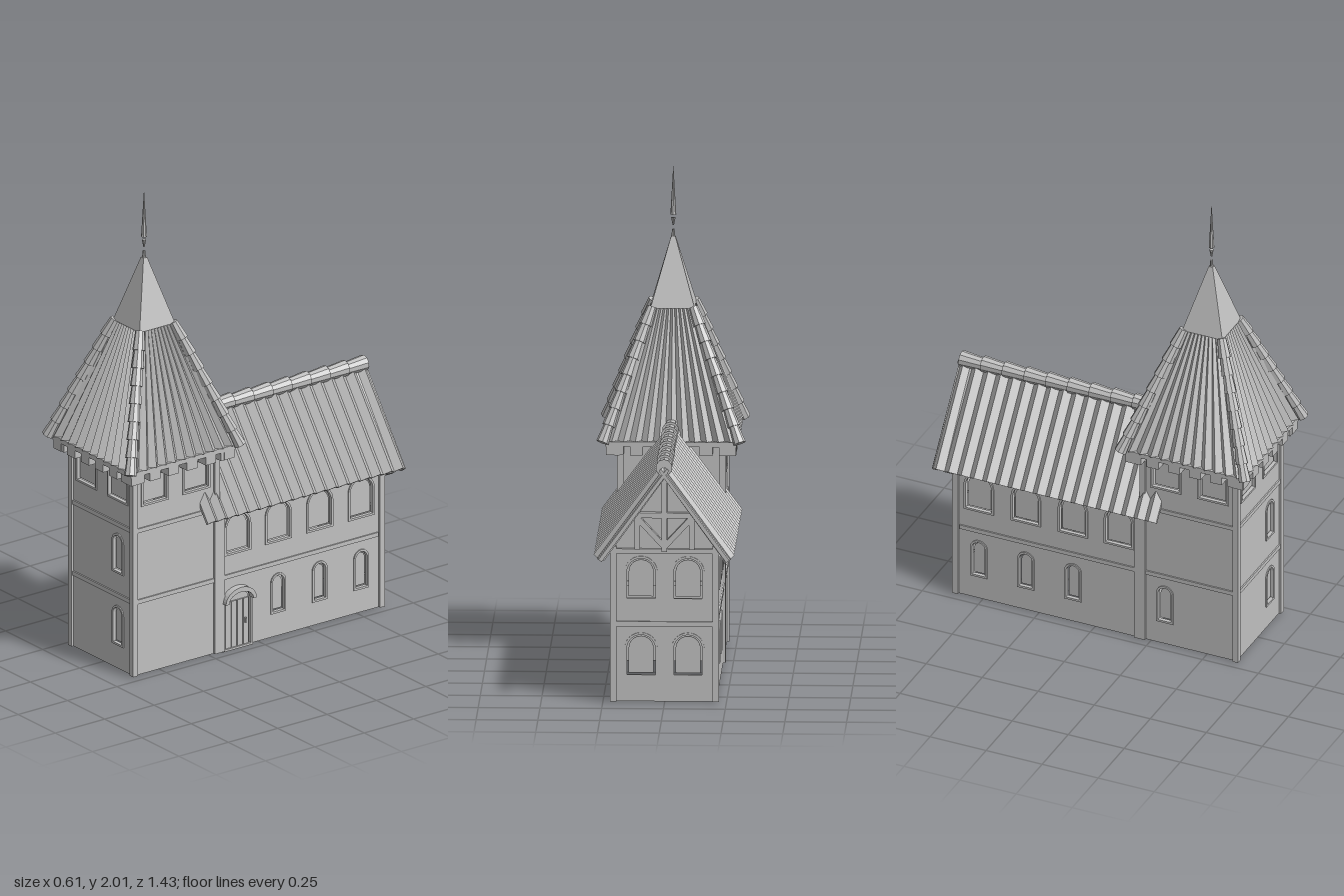
import * as THREE from 'three';

const stone = new THREE.MeshStandardMaterial({ color: 0xc0c0c0, flatShading: true, side: THREE.DoubleSide });
stone.name = 'plain grey';

const V = (x, y, z) => new THREE.Vector3(x, y, z);
const HALF = 0.21;            // outer wall face, half width
const TZ = 0.425;             // tower centre along z

function add(parent, name, geo, x = 0, y = 0, z = 0) {
  const m = new THREE.Mesh(geo, stone);
  m.name = name;
  m.position.set(x, y, z);
  parent.add(m);
  return m;
}
const box = (p, name, w, h, d, x, y, z) => add(p, name, new THREE.BoxGeometry(w, h, d), x, y, z);
const slab = (shape, depth) => new THREE.ExtrudeGeometry(shape, { depth, bevelEnabled: false, curveSegments: 8 });

// Tapered round bar between two points
function bar(p, name, a, b, r0, r1, sides = 8) {
  const m = add(p, name, new THREE.CylinderGeometry(r1, r0, a.distanceTo(b), sides));
  m.position.copy(a).lerp(b, 0.5);
  m.quaternion.setFromUnitVectors(V(0, 1, 0), b.clone().sub(a).normalize());
}

// Timber between two points of a plane facing z
function timber(p, name, x0, y0, x1, y1, z, w = 0.022, d = 0.025) {
  const m = box(p, name, w, Math.hypot(x1 - x0, y1 - y0), d, (x0 + x1) / 2, (y0 + y1) / 2, z);
  m.rotation.z = -Math.atan2(x1 - x0, y1 - y0);
}

// Opening outline grown by g; rise is the height of the arched top (0 = square)
function outline({ x, y, w, h, rise }, g = 0) {
  const a = w / 2 + g, top = y + h + g, s = new THREE.Shape();
  const spring = rise ? y + h - rise : top;
  s.moveTo(x - a, y - g).lineTo(x + a, y - g).lineTo(x + a, spring);
  if (rise) s.absellipse(x, spring, a, rise + g, 0, Math.PI, false);
  else s.lineTo(x - a, top);
  s.closePath();
  return s;
}
const wide = (x, y) => ({ x, y, w: 0.115, h: 0.165, rise: 0.057 });
const slim = (x, y) => ({ x, y, w: 0.058, h: 0.155, rise: 0.029 });
const square = x => ({ x, y: 0.74, w: 0.12, h: 0.12, rise: 0 });

// Wall with framed, glazed openings; local +z is the outside
function wall(parent, name, w, h, openings, x, z, turn) {
  const g = new THREE.Group();
  g.name = name;
  const s = new THREE.Shape([[-w / 2, 0], [w / 2, 0], [w / 2, h], [-w / 2, h]].map(p => new THREE.Vector2(...p)));
  openings.forEach(o => s.holes.push(outline(o)));
  add(g, 'wallPanel', slab(s, 0.012), 0, 0, -0.012);
  for (const o of openings) {
    const ring = outline(o, 0.009);
    ring.holes.push(outline(o));
    add(g, 'windowFrame', slab(ring, 0.007), 0, 0, -0.002);
    add(g, 'windowPane', slab(outline(o, -0.007), 0.005), 0, 0, -0.011);
  }
  g.position.set(x, 0, z);
  g.rotation.y = turn;
  parent.add(g);
  return g;
}

// Corrugated sheet for one roof slope, extruded from eave to ridge
function roofSheet(parent, side, z0, z1, length) {
  const len = z1 - z0, n = Math.round(len / 0.0565) * 2, top = [], low = [];
  for (let i = 0; i <= n; i++) {
    const u = -len / 2 + len * i / n, v = i % 2 ? 0.013 : -0.013;
    top.push(new THREE.Vector2(u, v));
    low.unshift(new THREE.Vector2(u, v - 0.012));
  }
  const m = add(parent, 'corrugatedRoof', slab(new THREE.Shape([...top, ...low]), length));
  const basis = new THREE.Matrix4().makeBasis(V(0, 0, side), V(side * 0.805, 0.593, 0), V(-side * 0.593, 0.805, 0));
  m.quaternion.setFromRotationMatrix(basis);
  m.position.set(side * 0.275, 0.607, (z0 + z1) / 2);
}

// Fanned corrugated face of the tower roof
function towerRoofFace() {
  const geo = new THREE.PlaneGeometry(2, 1, 22, 1), p = geo.attributes.position;
  for (let i = 0; i < p.count; i++) {
    const t = p.getY(i) + 0.5, col = i % 23;
    const half = THREE.MathUtils.lerp(0.265, 0.085, t);
    const amp = THREE.MathUtils.lerp(0.012, 0.005, t) * (col % 2 ? 1 : -1);
    p.setXYZ(i, p.getX(i) * half, THREE.MathUtils.lerp(0.915, 1.43, t), half + amp);
  }
  geo.computeVertexNormals();
  return geo;
}

function buildTower() {
  const t = new THREE.Group();
  t.name = 'tower';
  t.position.z = TZ;
  const pair = [square(-0.105), square(0.105)];
  wall(t, 'towerFrontWall', 0.42, 0.9, [...pair, slim(0.105, 0.11), slim(0.105, 0.425)], 0, HALF, 0);
  wall(t, 'towerRightWall', 0.42, 0.9, pair, HALF, 0, Math.PI / 2);
  wall(t, 'towerLeftWall', 0.42, 0.9, [...pair, slim(-0.11, 0.11)], -HALF, 0, -Math.PI / 2);
  wall(t, 'towerBackWall', 0.42, 0.9, [], 0, -HALF, Math.PI);
  for (const sx of [-1, 1]) for (const sz of [-1, 1])
    box(t, 'towerPost', 0.025, 0.9, 0.025, sx * 0.2075, 0.45, sz * 0.2075);
  for (const y of [0.32, 0.63]) for (const s of [-1, 1]) {
    box(t, 'towerBeam', 0.4, 0.018, 0.014, 0, y, s * 0.209);
    box(t, 'towerBeam', 0.014, 0.018, 0.4, s * 0.209, y, 0);
  }

  // Eaves, joist ends and the four roof faces
  box(t, 'eavesPlate', 0.53, 0.02, 0.53, 0, 0.903, 0);
  for (let k = 0; k < 4; k++) {
    const side = new THREE.Group();
    side.name = 'towerRoofSide';
    side.rotation.y = k * Math.PI / 2;
    t.add(side);
    for (let i = 0; i < 6; i++) box(side, 'joistEnd', 0.052, 0.038, 0.07, -0.235 + i * 0.094, 0.876, 0.228);
    add(side, 'towerRoofFace', towerRoofFace());
    const a = V(0.278, 0.912, 0.278), b = V(0.086, 1.43, 0.086);
    for (let i = 0; i < 8; i++)
      bar(side, 'hipTile', a.clone().lerp(b, i / 8), a.clone().lerp(b, (i + 1.08) / 8), 0.026, 0.019);
  }

  // Smooth upper cap and finial
  const cap = add(t, 'spireCap', new THREE.CylinderGeometry(0.013, 0.127, 0.28, 4), 0, 1.57, 0);
  cap.rotation.y = Math.PI / 4;
  add(t, 'spireKnob', new THREE.CylinderGeometry(0.005, 0.01, 0.05, 8), 0, 1.715, 0);
  add(t, 'finialCup', new THREE.CylinderGeometry(0.009, 0.003, 0.032, 8), 0, 1.772, 0);
  add(t, 'finialSpike', new THREE.CylinderGeometry(0.0005, 0.012, 0.2, 8), 0, 1.9, 0);
  return t;
}

function buildHouse() {
  const h = new THREE.Group();
  h.name = 'house';
  const zc = -0.205, upper = [0.11, -0.095, -0.305, -0.515], lower = upper.slice(1);
  const door = { x: zc - 0.112, y: 0.004, w: 0.135, h: 0.246, rise: 0.045 };
  const right = wall(h, 'houseRightWall', 0.83, 0.67,
    [...upper.map(z => wide(zc - z, 0.42)), ...lower.map(z => slim(zc - z, 0.11)), door], HALF, zc, Math.PI / 2);
  wall(h, 'houseLeftWall', 0.83, 0.67,
    [...upper.map(z => wide(z - zc, 0.42)), ...lower.map(z => slim(z - zc, 0.11))], -HALF, zc, -Math.PI / 2);
  wall(h, 'houseBackWall', 0.42, 0.62,
    [0.11, 0.425].flatMap(y => [wide(-0.095, y), wide(0.095, y)]), 0, -0.62, Math.PI);

  // Door hood, planks and handle
  const hood = outline({ ...door, y: 0.22, h: 0.03, rise: 0.03 }, 0.014);
  hood.holes.push(outline({ ...door, y: 0.195, h: 0.055, rise: 0.045 }, 0));
  const arch = new THREE.Shape();
  arch.absellipse(door.x, 0.208, 0.078, 0.062, 0, Math.PI, false);
  arch.absellipse(door.x, 0.208, 0.062, 0.042, Math.PI, 0, true);
  add(right, 'doorHood', slab(arch, 0.03));
  for (let i = 0; i < 4; i++) box(right, 'doorPlank', 0.027, 0.2, 0.006, door.x - 0.045 + i * 0.03, 0.105, -0.003);
  box(right, 'doorHandle', 0.008, 0.02, 0.012, door.x + 0.04, 0.11, 0.003);

  // Posts and floor beams
  for (const s of [-1, 1]) {
    for (const z of [-0.6175, 0.193]) box(h, 'housePost', 0.025, 0.64, 0.025, s * 0.2075, 0.32, z);
    for (const y of [0.32, 0.605]) box(h, 'houseBeam', 0.014, 0.018, 0.79, s * 0.209, y, zc);
  }
  for (const y of [0.32, 0.62]) box(h, 'backBeam', 0.4, 0.02, 0.016, 0, y, -0.62);

  // Gable wall and timber frame
  const gable = new THREE.Shape([[-0.208, 0.61], [0.208, 0.61], [0.208, 0.66], [0, 0.94], [-0.208, 0.66]]
    .map(p => new THREE.Vector2(...p)));
  add(h, 'gableWall', slab(gable, 0.012), 0, 0, -0.615);
  timber(h, 'kingPost', 0, 0.62, 0, 0.93, -0.627);
  timber(h, 'collarBeam', -0.11, 0.77, 0.11, 0.77, -0.627);
  for (const s of [-1, 1]) {
    timber(h, 'gableBrace', 0, 0.64, s * 0.12, 0.77, -0.627);
    timber(h, 'gableStud', s * 0.11, 0.63, s * 0.11, 0.78, -0.627);
    timber(h, 'gableRafter', s * 0.255, 0.59, 0, 0.945, -0.63, 0.026, 0.035);
    timber(h, 'bargeBoard', s * 0.262, 0.595, 0, 0.955, -0.688, 0.024, 0.016);
    // Long slope, and the short lower piece running past the tower
    roofSheet(h, s, -0.7, 0.2, 0.465);
    roofSheet(h, s, 0.2, 0.3, 0.125);
  }

  // Overlapping ridge tiles
  for (let i = 0; i < 9; i++) {
    const z = -0.69 + i * 0.0967;
    bar(h, 'ridgeTile', V(0, 0.978, z), V(0, 0.974, z + 0.105), 0.034, 0.027, 10);
  }
  return h;
}

export function createModel() {
  const model = new THREE.Group();
  model.name = 'towerHouse';
  model.add(buildTower(), buildHouse());
  return model;
}
